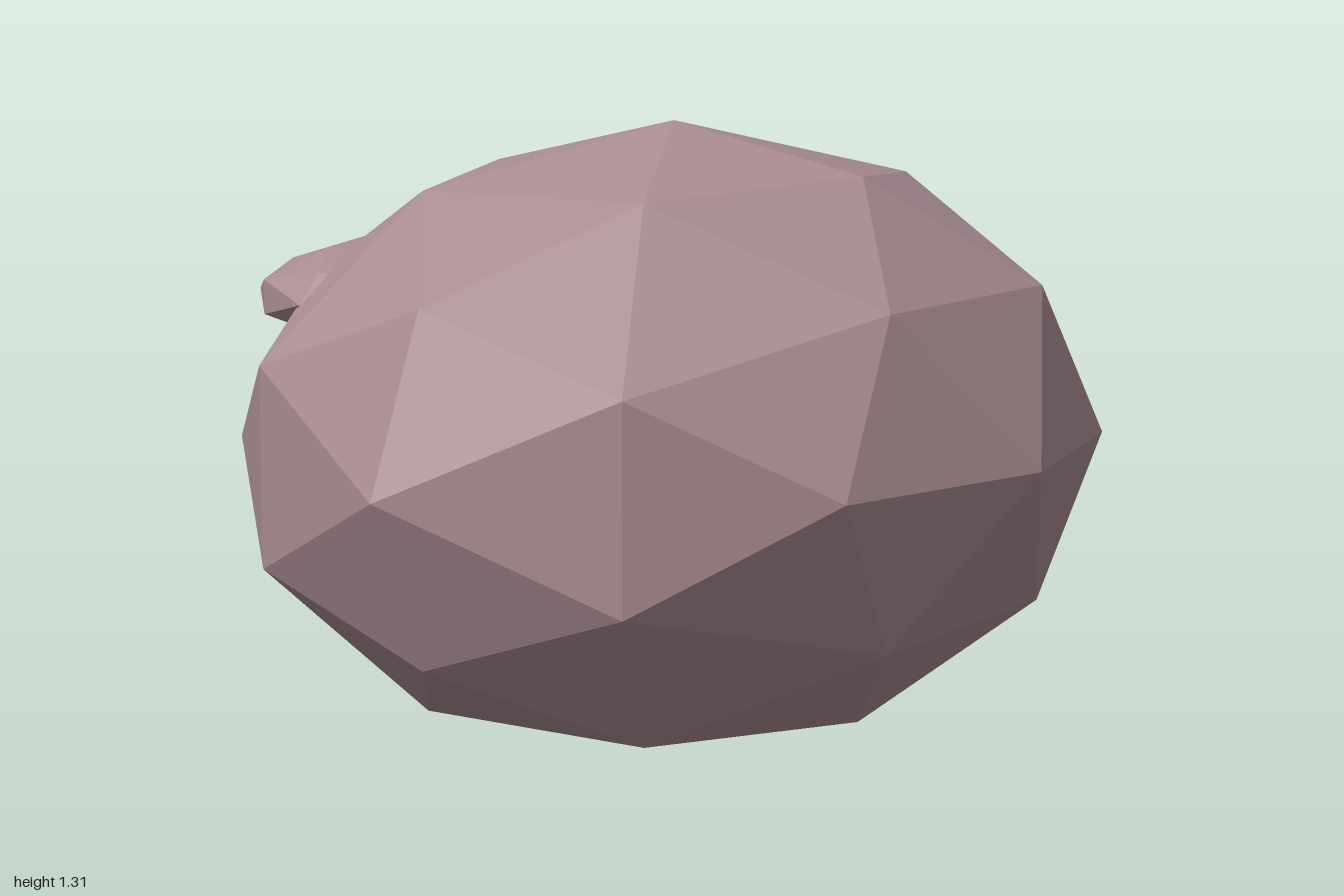
import * as THREE from 'three';

export function createModel() {
  const group = new THREE.Group();
  group.name = 'rock';

  const stone = new THREE.MeshStandardMaterial({ color: 0xa98c92, flatShading: true });
  stone.name = 'dusty pink stone';

  // Faceted ellipsoid: a once-divided icosahedron, stretched per axis
  function boulder(name, radii, position) {
    const geometry = new THREE.IcosahedronGeometry(1, 1);
    geometry.scale(...radii);
    geometry.computeVertexNormals();
    const mesh = new THREE.Mesh(geometry, stone);
    mesh.name = name;
    mesh.position.set(...position);
    group.add(mesh);
  }

  // Large main body resting on the ground
  boulder('mainBoulder', [0.86, 0.654, 1], [0.015, 0.654, 0]);
  // Thin ledge, half buried in the upper -x side
  boulder('sideLedge', [0.33, 0.118, 0.425], [-0.55, 0.938, 0.105]);

  return group;
}
